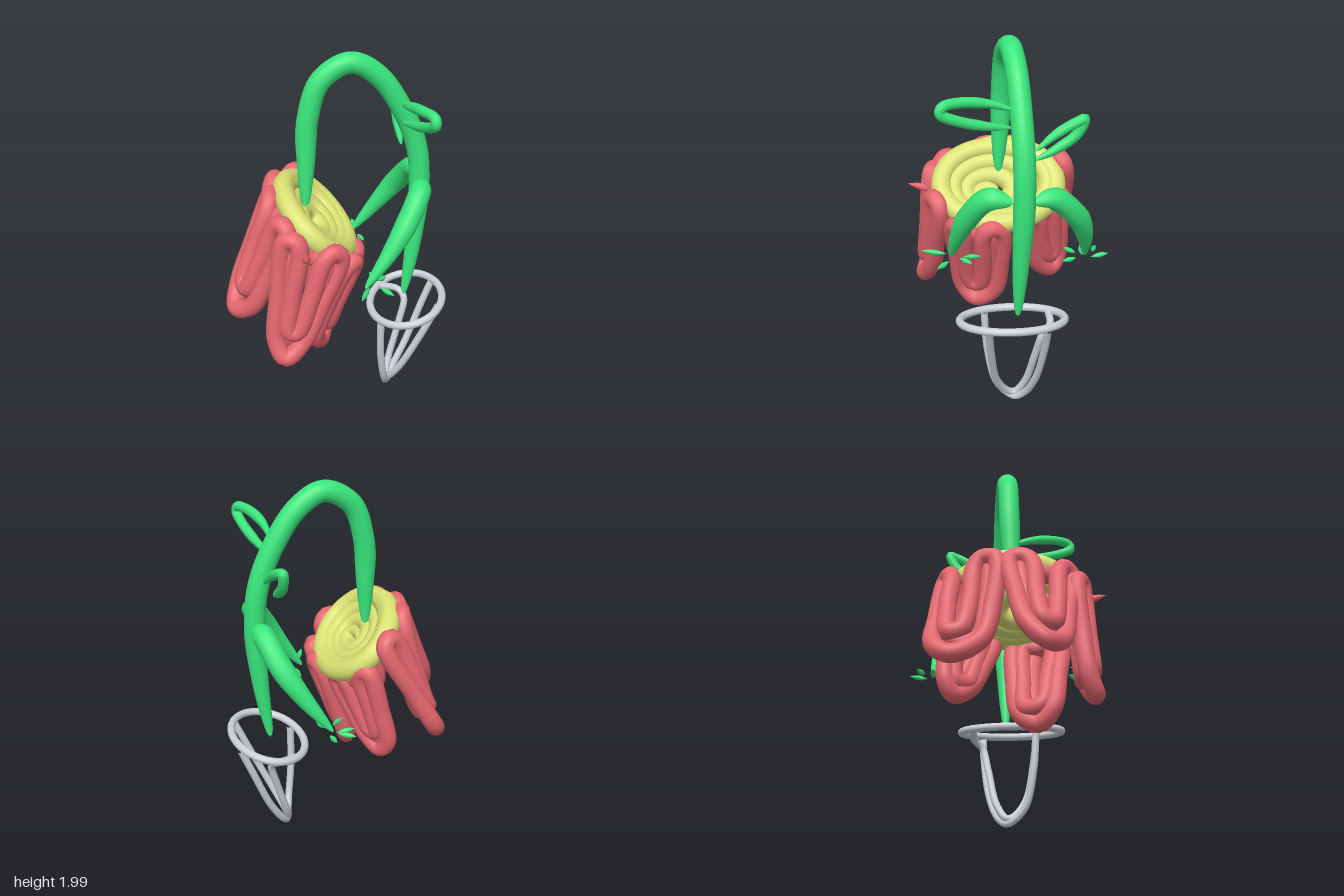
import * as THREE from 'three';

const mat = (name, color) => Object.assign(new THREE.MeshStandardMaterial({ color }), { name });
const V = (p) => new THREE.Vector3(...p);

// Tube along a smooth path; profile(t) scales its radius from start to end
function tube(name, points, radius, material, { closed = false, profile = null, segments = 80, sides = 14 } = {}) {
  const curve = new THREE.CatmullRomCurve3(points.map((p) => (p.isVector3 ? p : V(p))), closed, 'centripetal');
  const geo = new THREE.TubeGeometry(curve, segments, radius, sides, closed);
  if (profile) {
    const pos = geo.attributes.position, v = new THREE.Vector3();
    for (let i = 0; i <= segments; i++) {
      const t = i / segments, c = curve.getPointAt(t), f = profile(t);
      for (let j = 0; j <= sides; j++) {
        const k = i * (sides + 1) + j;
        v.fromBufferAttribute(pos, k).sub(c).multiplyScalar(f).add(c);
        pos.setXYZ(k, v.x, v.y, v.z);
      }
    }
  }
  const mesh = new THREE.Mesh(geo, material);
  mesh.name = name;
  return mesh;
}

// Slim pointed blade between two points
function blade(name, a, b, radius, material) {
  return tube(name, [a, b], radius, material, {
    segments: 12, sides: 8, profile: (t) => Math.max(0.02, Math.sin(Math.PI * t)),
  });
}

export function createModel() {
  const green = mat('stem green', 0x39e57c);
  const red = mat('petal red', 0xe5676f);
  const yellow = mat('centre yellow', 0xdbe274);
  const grey = mat('wire grey', 0xccd0d6);
  const model = new THREE.Group();
  model.name = 'droopingFlower';

  // Arched stem, thinner at both ends
  model.add(tube('stem', [
    [-0.165, 1.17, 0.04], [-0.16, 1.4, 0.03], [-0.148, 1.66, 0.02], [-0.08, 1.86, 0.01], [0.07, 1.945, -0.01],
    [0.21, 1.87, -0.03], [0.335, 1.69, -0.045], [0.42, 1.48, -0.055], [0.445, 1.25, -0.055],
    [0.42, 0.9, -0.04], [0.375, 0.58, -0.03],
  ], 0.056, green, {
    segments: 120, sides: 20,
    profile: (t) => Math.max(0.02, Math.min(1, Math.pow(t / 0.16, 0.4), Math.pow((1 - t) / 0.26, 0.4))),
  }));

  // Two drooping leaves
  const leafProfile = (t) => Math.max(0.02, Math.min(1, Math.sqrt(t / 0.15), Math.pow((1 - t) / 0.55, 0.55)));
  [[[0.43, 1.26, 0.0], [0.425, 1.28, 0.12], [0.35, 1.15, 0.22], [0.25, 0.99, 0.275], [0.13, 0.82, 0.31]],
   [[0.44, 1.26, -0.1], [0.425, 1.275, -0.2], [0.355, 1.14, -0.33], [0.25, 0.98, -0.385], [0.11, 0.79, -0.41]],
  ].forEach((pts) => model.add(tube('leaf', pts, 0.059, green, { profile: leafProfile })));

  // Looped tendrils near the top of the stem
  const tendrilProfile = (t) => Math.max(0.05, Math.min(1, Math.sqrt(t / 0.25), Math.sqrt((1 - t) / 0.25)));
  [[[0.34, 1.71, -0.02], [0.36, 1.755, 0.12], [0.41, 1.78, 0.26], [0.455, 1.775, 0.34], [0.46, 1.745, 0.35],
    [0.44, 1.7, 0.27], [0.39, 1.65, 0.12], [0.34, 1.62, -0.01]],
   [[0.35, 1.45, -0.11], [0.345, 1.5, -0.21], [0.34, 1.58, -0.32], [0.345, 1.66, -0.355], [0.355, 1.655, -0.33],
    [0.375, 1.6, -0.22], [0.4, 1.52, -0.11]],
  ].forEach((pts) => model.add(tube('tendril', pts, 0.027, green, { profile: tendrilProfile, sides: 10 })));

  // Tiny leaflets scattered round each leaf tip: x, z to x, z
  const leaflets = [
    [0.83, [[0.165, 0.15, 0.19, 0.25], [0.2, 0.265, 0.25, 0.2], [0.21, 0.32, 0.275, 0.385], [0.15, 0.33, 0.1, 0.47]]],
    [0.79, [[0.005, -0.48, 0.095, -0.45], [0.12, -0.535, 0.135, -0.44], [-0.005, -0.395, 0.09, -0.4],
            [0.04, -0.3, 0.105, -0.36], [0.14, -0.36, 0.175, -0.28]]],
  ];
  for (const [y, list] of leaflets) {
    list.forEach(([x1, z1, x2, z2], i) =>
      model.add(blade('leaflet', [x1, y + 0.012 * (i % 2), z1], [x2, y - 0.012 * (i % 3 - 1), z2], 0.014, green)));
  }

  // Flower centre: a dished spiral on a tilted oval, its first turn a full rim
  const spiral = [];
  const steps = 96;
  for (let i = 0; i <= steps; i++) {
    const t = i / steps, r = 1 - 0.92 * Math.max(0, (t - 0.22) / 0.78), a = 4.4 * Math.PI * 2 * t + 2.4;
    const u = Math.cos(a) * r, w = Math.sin(a) * r, dip = 0.06 * (1 - r * r);
    spiral.push([
      -0.115 + 0.165 * u - 0.62 * dip + 0.03 * (1 - r),
      1.125 - 0.155 * u - 0.78 * dip - 0.025 * (1 - r),
      0.04 + 0.308 * w + 0.05 * (1 - r),
    ]);
  }
  model.add(tube('flowerCentre', spiral, 0.056, yellow, {
    segments: 320, profile: (t) => Math.max(0.02, Math.min(1, Math.sqrt(t / 0.04), Math.sqrt((1 - t) / 0.03))),
  }));

  // Petals: folded tubes laid on a bulging four-cornered patch, backed by an inner loop
  const fold = [
    [0, 0], [0.01, 0.5], [0.12, 0.88], [0.5, 1.02], [0.88, 0.88], [0.99, 0.5], [1, 0], [0.82, -0.04],
    [0.72, 0.05], [0.7, 0.45], [0.6, 0.76], [0.4, 0.76], [0.3, 0.45], [0.28, 0.05], [0.18, -0.04],
  ];
  const innerFold = [[0.22, 0.06], [0.22, 0.5], [0.32, 0.84], [0.68, 0.84], [0.78, 0.5], [0.78, 0.06], [0.5, 0.07]];
  // name, outer bulge, lining bulge, top corners, bottom corners
  const petals = [
    ['rightPetal', 0.2, -0.02, [0.04, 0.95, 0.29], [0.07, 0.93, 0.04], [-0.18, 0.45, 0.25], [-0.09, 0.44, 0.03]],
    ['backRightPetal', 0.08, -0.02, [0.02, 0.94, -0.08], [-0.1, 1.05, -0.3], [-0.13, 0.58, -0.17], [-0.24, 0.58, -0.31]],
    ['backLeftPetal', 0.19, -0.14, [-0.18, 1.2, -0.32], [-0.34, 1.26, -0.04], [-0.48, 0.65, -0.36], [-0.43, 0.7, -0.05]],
    ['leftPetal', 0.2, -0.06, [-0.35, 1.25, 0.04], [-0.27, 1.18, 0.35], [-0.54, 0.75, 0.1], [-0.46, 0.66, 0.31]],
    ['frontPetal', 0.18, -0.02, [-0.28, 1.15, 0.38], [0.0, 1.04, 0.36], [-0.37, 0.52, 0.41], [-0.2, 0.52, 0.41]],
  ];
  for (const [name, bulge, liningBulge, ...corners] of petals) {
    const [a, b, c, d] = corners.map(V);
    const out = a.clone().add(b).add(c).add(d).multiplyScalar(0.25).sub(V([-0.2, 0, 0.03])).setY(0).normalize();
    const lay = (path, swell) => path.map(([s, t]) => {
      const top = a.clone().lerp(b, s), low = c.clone().lerp(d, s);
      return top.lerp(low, t).addScaledVector(out, swell * s * (1 - s));
    });
    model.add(tube(name, lay(fold, bulge), 0.049, red, { closed: true, segments: 150 }));
    model.add(tube(name + 'Lining', lay(innerFold, liningBulge), 0.048, red, { closed: true, segments: 90 }));
  }
  // Small thorn on the front petal
  model.add(blade('thorn', [-0.18, 1.06, 0.36], [-0.18, 1.11, 0.53], 0.022, red));

  // Wire basket: tilted hoop and two bent ribs meeting at the foot
  const hoop = [];
  for (let i = 0; i < 24; i++) {
    const a = (i / 24) * Math.PI * 2;
    hoop.push([0.385 + 0.197 * Math.cos(a), 0.568 + 0.04 * Math.cos(a), 0.275 * Math.sin(a)]);
  }
  model.add(tube('basketHoop', hoop, 0.021, grey, { closed: true }));
  [[[0.56, 0.6, -0.17], [0.5, 0.45, -0.16], [0.4, 0.2, -0.12], [0.32, 0.06, -0.065], [0.29, 0.025, -0.015],
    [0.265, 0.1, 0.075], [0.238, 0.3, 0.125], [0.235, 0.53, 0.14]],
   [[0.55, 0.6, 0.13], [0.46, 0.4, 0.115], [0.35, 0.17, 0.08], [0.295, 0.065, 0.02], [0.285, 0.05, -0.02],
    [0.305, 0.13, -0.075], [0.365, 0.34, -0.125], [0.395, 0.48, -0.16], [0.36, 0.515, -0.2], [0.25, 0.54, -0.2]],
  ].forEach((pts) => model.add(tube('basketRib', pts, 0.02, grey, { sides: 10 })));

  return model;
}
